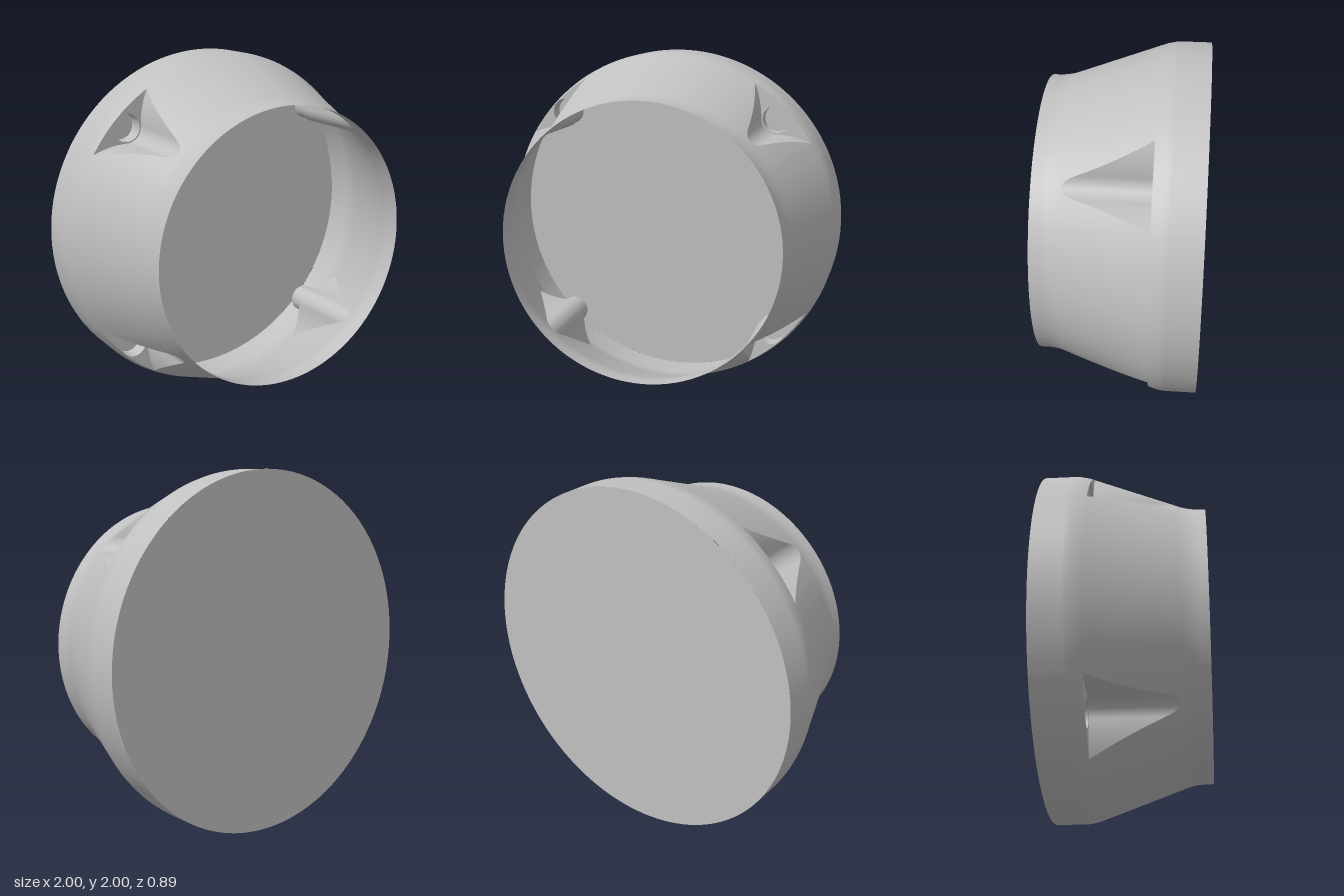
import * as THREE from 'three';

const FLOOR_Z = -0.18; // depth of the pocket floors
const BACK_Z = -0.445;
const SCREW = 0.636; // x and y offset of each screw well from the axis
const NOSE = 0.087, WELL = 0.079, BORE = 0.045;

// shell profile as [z, radius], split at the pocket floor
const backProfile = [[BACK_Z, 1], [-0.275, 1], [-0.25, 0.998], [-0.225, 0.993], [-0.2, 0.987], [FLOOR_Z, 0.98]];
const frontProfile = [[FLOOR_Z, 0.98], [0.28, 0.815], [0.305, 0.806], [0.33, 0.799], [0.36, 0.793], [0.39, 0.79], [0.445, 0.789]];

function interpolate(profile, value, from, to) {
  for (let i = 1; i < profile.length; i++) {
    const a = profile[i - 1], b = profile[i];
    const t = (value - a[from]) / (b[from] - a[from]);
    if (t <= 1 || i === profile.length - 1) return a[to] + (b[to] - a[to]) * Math.max(0, t);
  }
}
const radiusAt = (z) => interpolate(frontProfile, z, 0, 1);
const zAt = (radius) => interpolate(frontProfile, radius, 1, 0);

// surface through a list of columns, each a list of [x, y, z]
function gridGeometry(columns, closed) {
  const rows = columns[0].length, n = columns.length, index = [];
  for (let i = 0; i < (closed ? n : n - 1); i++) {
    for (let j = 0; j < rows - 1; j++) {
      const a = i * rows + j, b = ((i + 1) % n) * rows + j;
      index.push(a, b, b + 1, a, b + 1, a + 1);
    }
  }
  const geometry = new THREE.BufferGeometry();
  geometry.setAttribute('position', new THREE.Float32BufferAttribute(columns.flat(2), 3));
  geometry.setIndex(index);
  geometry.computeVertexNormals();
  return geometry;
}

// pocket outline in the first quadrant: curved flank, round nose, curved flank
function pocketOutline() {
  const path = new THREE.Path();
  path.moveTo(0.839, 0.507);
  path.quadraticCurveTo(0.74, SCREW - NOSE, SCREW, SCREW - NOSE);
  path.absarc(SCREW, SCREW, NOSE, Math.PI * 1.5, Math.PI, true);
  path.quadraticCurveTo(SCREW - NOSE, 0.74, 0.507, 0.839);
  return path.getPoints(14);
}

export function createModel() {
  const grey = new THREE.MeshStandardMaterial({ color: 0xc0c0c0, side: THREE.DoubleSide });
  grey.name = 'plain grey';
  const model = new THREE.Group();
  model.name = 'housing';
  const body = new THREE.Group();
  body.name = 'body';
  body.position.y = 1;
  model.add(body);
  const add = (parent, name, geometry, z = 0) => {
    const mesh = new THREE.Mesh(geometry, grey);
    mesh.name = name;
    mesh.position.z = z;
    parent.add(mesh);
    return mesh;
  };

  const outline = pocketOutline();
  const polar = outline.map((p) => ({ angle: Math.atan2(p.y, p.x), cut: zAt(p.length()) }));

  // angles round the shell, with the front edge of each pocket cut
  const stations = [];
  const last = polar[polar.length - 1].angle;
  const gap = polar[0].angle + Math.PI / 2 - last;
  for (let q = 0; q < 4; q++) {
    const turn = q * Math.PI / 2;
    for (const s of polar) stations.push({ angle: s.angle + turn, cut: s.cut });
    for (let i = 1; i < 20; i++) stations.push({ angle: last + turn + gap * i / 20, cut: FLOOR_Z });
  }
  const onShell = (angle, radius, z) => [radius * Math.cos(angle), radius * Math.sin(angle), z];

  // outer shell, open at the front
  add(body, 'rearBand', gridGeometry(stations.map((s) =>
    backProfile.map(([z, r]) => onShell(s.angle, r, z))), true));
  add(body, 'taperedShell', gridGeometry(stations.map((s) =>
    frontProfile.map(([z]) => {
      const zz = Math.max(z, s.cut);
      return onShell(s.angle, radiusAt(zz), zz);
    })), true));

  // closed back
  const backPlate = add(body, 'backPlate', new THREE.CircleGeometry(1, 128), BACK_Z);
  backPlate.rotation.y = Math.PI;

  // pocket parts shared by the four corners
  const wall = gridGeometry(outline.map((p, i) =>
    [[p.x, p.y, FLOOR_Z], [p.x, p.y, Math.max(FLOOR_Z, polar[i].cut)]]), false);
  const rim = polar.map((s) => new THREE.Vector2(0.98 * Math.cos(s.angle), 0.98 * Math.sin(s.angle)));
  const floorShape = new THREE.Shape([...outline, ...rim.slice(1, -1).reverse()]);
  const hole = new THREE.Path();
  hole.absarc(SCREW, SCREW, WELL, 0, Math.PI * 2, true);
  floorShape.holes.push(hole);
  const floor = new THREE.ShapeGeometry(floorShape, 20);
  const depth = 0.09;
  const wellWall = new THREE.CylinderGeometry(WELL, WELL, depth, 40, 1, true)
    .rotateX(Math.PI / 2).translate(SCREW, SCREW, -depth / 2);
  const wellSeat = new THREE.RingGeometry(BORE, WELL, 40).translate(SCREW, SCREW, -depth);

  for (let q = 0; q < 4; q++) {
    const pocket = new THREE.Group();
    pocket.name = 'screwPocket' + (q + 1);
    pocket.rotation.z = q * Math.PI / 2;
    add(pocket, 'pocketWall', wall);
    add(pocket, 'pocketFloor', floor, FLOOR_Z);
    add(pocket, 'screwWell', wellWall, FLOOR_Z);
    add(pocket, 'screwSeat', wellSeat, FLOOR_Z);
    body.add(pocket);
  }
  return model;
}
